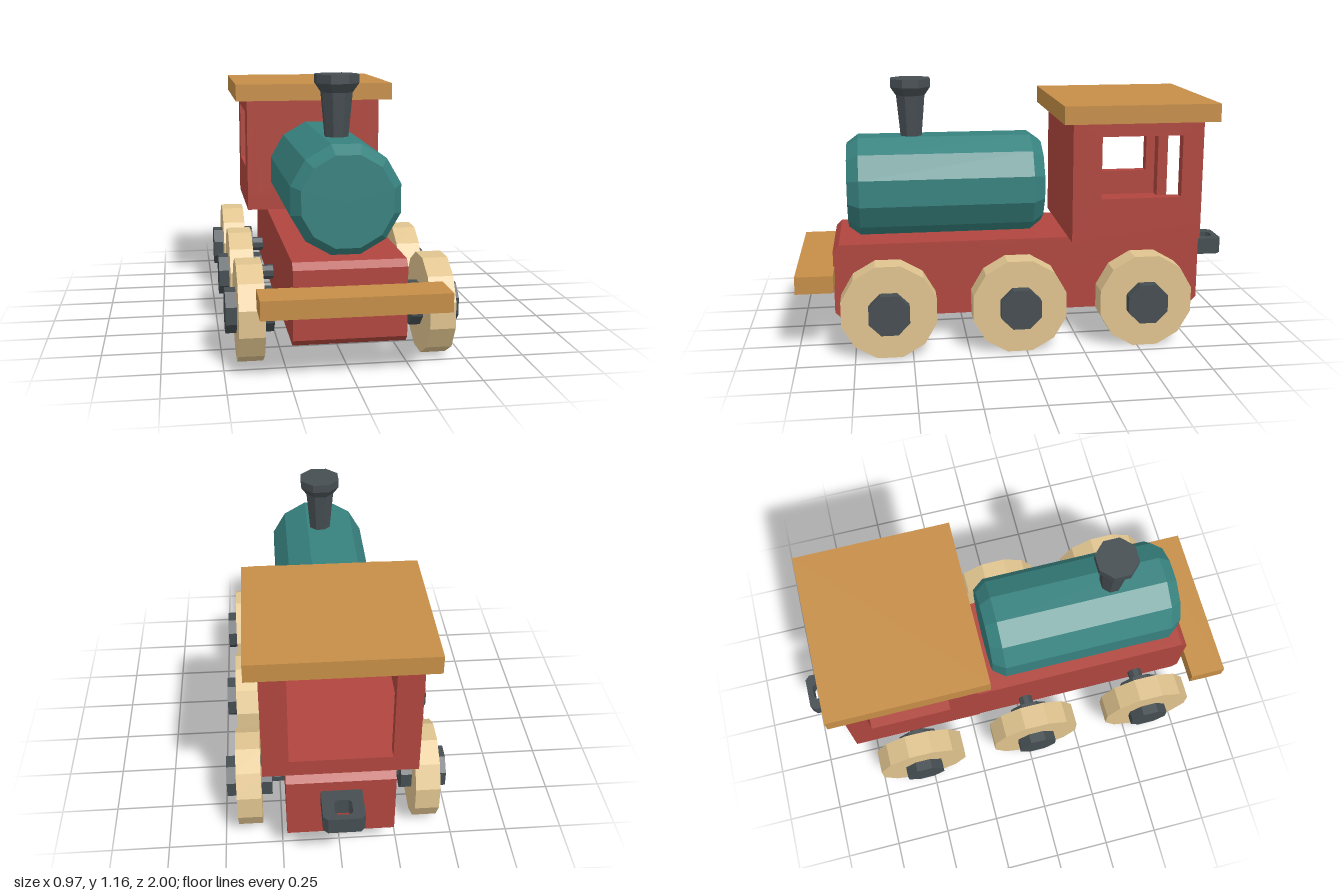
import * as THREE from 'three';

const paint = (color) => new THREE.MeshStandardMaterial({ color, flatShading: true });

export function createModel() {
  const red = paint(0xb0463e);
  const teal = paint(0x37827f);
  const wood = paint(0xc68e47);
  const cream = paint(0xe0c48f);
  const iron = paint(0x464e52);
  const model = new THREE.Group();

  const add = (name, geometry, material, x = 0, y = 0, z = 0, parent = model) => {
    const mesh = new THREE.Mesh(geometry, material);
    mesh.name = name;
    mesh.position.set(x, y, z);
    parent.add(mesh);
    return mesh;
  };

  // Box given by its lower and upper corners
  const addBox = (name, material, [x0, y0, z0], [x1, y1, z1], parent = model) =>
    add(name, new THREE.BoxGeometry(x1 - x0, y1 - y0, z1 - z0), material,
      (x0 + x1) / 2, (y0 + y1) / 2, (z0 + z1) / 2, parent);

  // Faceted turned part with flats facing the axes; profile is [flat radius, height]
  const turned = (sides, profile) => new THREE.LatheGeometry(
    profile.map(([r, h]) => new THREE.Vector2(r / Math.cos(Math.PI / sides), h)),
    sides, Math.PI / sides);
  const disc = (sides, r, length) =>
    turned(sides, [[0, -length / 2], [r, -length / 2], [r, length / 2], [0, length / 2]]);

  // Rectangle outline with cut corners
  const cutRect = (u0, v0, u1, v1, c, Type = THREE.Shape) => new Type([
    [u0 + c, v0], [u1 - c, v0], [u1, v0 + c], [u1, v1 - c],
    [u1 - c, v1], [u0 + c, v1], [u0, v1 - c], [u0, v0 + c],
  ].map(([u, v]) => new THREE.Vector2(u, v)));
  const rect = (u0, v0, u1, v1, Type = THREE.Shape) => new Type(
    [[u0, v0], [u1, v0], [u1, v1], [u0, v1]].map(([u, v]) => new THREE.Vector2(u, v)));

  // Side profile (z, y) extruded across x, centred
  const across = (shape, width) =>
    new THREE.ExtrudeGeometry(shape, { depth: width, bevelEnabled: false })
      .translate(0, 0, -width / 2).rotateY(-Math.PI / 2);

  // Chassis and bumper
  add('chassis', across(cutRect(-0.835, 0.115, 0.84, 0.455, 0.027), 0.46), red);
  addBox('bumper', wood, [-0.373, 0.283, 0.835], [0.373, 0.36, 1]);

  // Coupling loop at the back
  const loop = cutRect(-0.087, 0.82, 0.087, 1, 0.02);
  loop.holes.push(cutRect(-0.037, 0.892, 0.037, 0.973, 0.012, THREE.Path));
  add('coupling',
    new THREE.ExtrudeGeometry(loop, { depth: 0.075, bevelEnabled: false }).rotateX(-Math.PI / 2),
    iron, 0, 0.305, 0);

  // Boiler
  add('boiler', turned(12, [
    [0, -0.445], [0.187, -0.445], [0.225, -0.392], [0.225, 0.392], [0.187, 0.445], [0, 0.445],
  ]).rotateX(Math.PI / 2), teal, 0, 0.68, 0.325);

  // Chimney
  add('chimney', turned(8, [
    [0, 0.85], [0.043, 0.85], [0.064, 1.09], [0.089, 1.128], [0.089, 1.165], [0, 1.165],
  ]), iron, 0, 0, 0.475);

  // Cab: floor, front wall, windowed sides and rear posts
  const cab = new THREE.Group();
  cab.name = 'cab';
  model.add(cab);
  addBox('cabFloor', red, [-0.325, 0.455, -0.81], [0.325, 0.53, -0.22], cab);
  addBox('cabFrontWall', red, [-0.275, 0.53, -0.27], [0.275, 0.995, -0.22], cab);
  for (const side of [-1, 1]) {
    const wall = rect(-0.81, 0.53, -0.22, 0.995);
    wall.holes.push(rect(-0.715, 0.65, -0.35, 0.93, THREE.Path));
    add('cabSideWall', across(wall, 0.05), red, side * 0.3, 0, 0, cab);
    add('cabRearPost', new THREE.BoxGeometry(0.06, 0.465, 0.05), red,
      side * 0.245, 0.7625, -0.785, cab);
  }
  addBox('roof', wood, [-0.38, 0.995, -0.865], [0.38, 1.075, -0.17]);

  // Axles with wheels and hubs
  for (const z of [0.6, 0.03, -0.535]) {
    const wheelset = new THREE.Group();
    wheelset.name = 'wheelset';
    wheelset.position.set(0, 0.206, z);
    model.add(wheelset);
    add('axle', disc(8, 0.032, 0.64).rotateZ(Math.PI / 2), iron, 0, 0, 0, wheelset);
    for (const side of [-1, 1]) {
      add('wheel', disc(12, 0.206, 0.107).rotateZ(Math.PI / 2), cream, side * 0.387, 0, 0, wheelset);
      add('hub', disc(8, 0.088, 0.2).rotateZ(Math.PI / 2), iron, side * 0.386, 0, 0, wheelset);
    }
  }

  return model;
}
